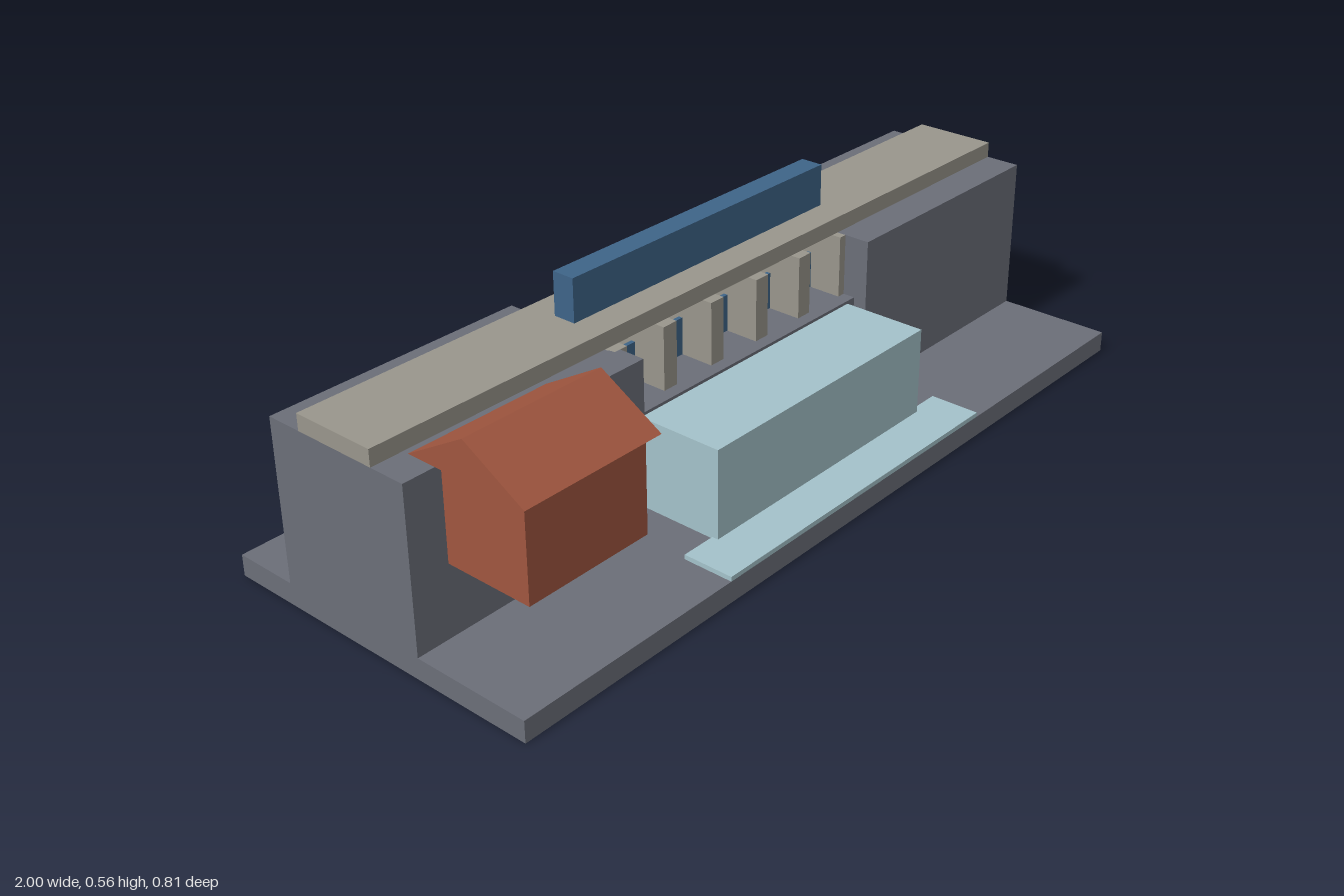
import * as THREE from 'three';

const mat = (name, color) => {
  const m = new THREE.MeshStandardMaterial({ color });
  m.name = name;
  return m;
};

export function createModel() {
  const model = new THREE.Group();
  model.name = 'stationBuilding';
  const concrete = mat('dark concrete', 0x6b6e78);
  const stone = mat('warm grey stone', 0x99968c);
  const blue = mat('deep blue', 0x3e6488);
  const glass = mat('pale blue', 0xa4c2ca);
  const brick = mat('brick red', 0xa0563f);

  // Box given by its extents along each axis
  const box = (name, material, [x0, x1], [y0, y1], [z0, z1], parent = model) => {
    const mesh = new THREE.Mesh(new THREE.BoxGeometry(x1 - x0, y1 - y0, z1 - z0), material);
    mesh.position.set((x0 + x1) / 2, (y0 + y1) / 2, (z0 + z1) / 2);
    mesh.name = name;
    parent.add(mesh);
    return mesh;
  };

  // Base slab and main masses
  box('base', concrete, [-1, 1], [0, 0.05], [-0.405, 0.405]);
  box('rightWing', concrete, [-1, -0.375], [0.05, 0.425], [-0.25, 0.125]);
  box('leftWing', concrete, [0.375, 1], [0.05, 0.425], [-0.25, 0.125]);
  box('centralBlock', concrete, [-0.375, 0.375], [0.05, 0.277], [-0.22, 0.092]);

  // Colonnade of deep piers carrying the roof deck
  const colonnade = new THREE.Group();
  colonnade.name = 'colonnade';
  model.add(colonnade);
  for (let i = 0; i < 6; i++) {
    const x = -0.375 + i * 0.15;
    box('pier', stone, [x - 0.02, x + 0.02], [0.277, 0.425], [-0.187, 0.062], colonnade);
  }
  box('parapet', blue, [-0.36, 0.36], [0.277, 0.365], [-0.03, -0.02]);
  box('roofDeck', stone, [-1, 1], [0.425, 0.463], [-0.164, 0.039]);
  box('roofSign', blue, [-0.405, 0.405], [0.463, 0.563], [-0.09, -0.035]);

  // Entrance volume and its step
  box('entranceHall', glass, [-0.35, 0.35], [0.057, 0.27], [0.09, 0.298]);
  box('entranceStep', glass, [-0.435, 0.435], [0.05, 0.061], [0.283, 0.405]);

  // Gabled oriel
  const oriel = new THREE.Group();
  oriel.name = 'oriel';
  model.add(oriel);
  box('orielBody', brick, [-0.91, -0.6], [0.213, 0.426], [0.072, 0.337], oriel);

  // Gable profile extruded along x
  const gable = new THREE.Shape([
    new THREE.Vector2(-0.15, 0), new THREE.Vector2(0.15, 0), new THREE.Vector2(0, 0.087),
  ]);
  const roof = new THREE.Mesh(
    new THREE.ExtrudeGeometry(gable, { depth: 0.35, bevelEnabled: false }), brick);
  roof.rotation.y = Math.PI / 2;
  roof.position.set(-0.925, 0.426, 0.204);
  roof.name = 'orielRoof';
  oriel.add(roof);

  return model;
}
